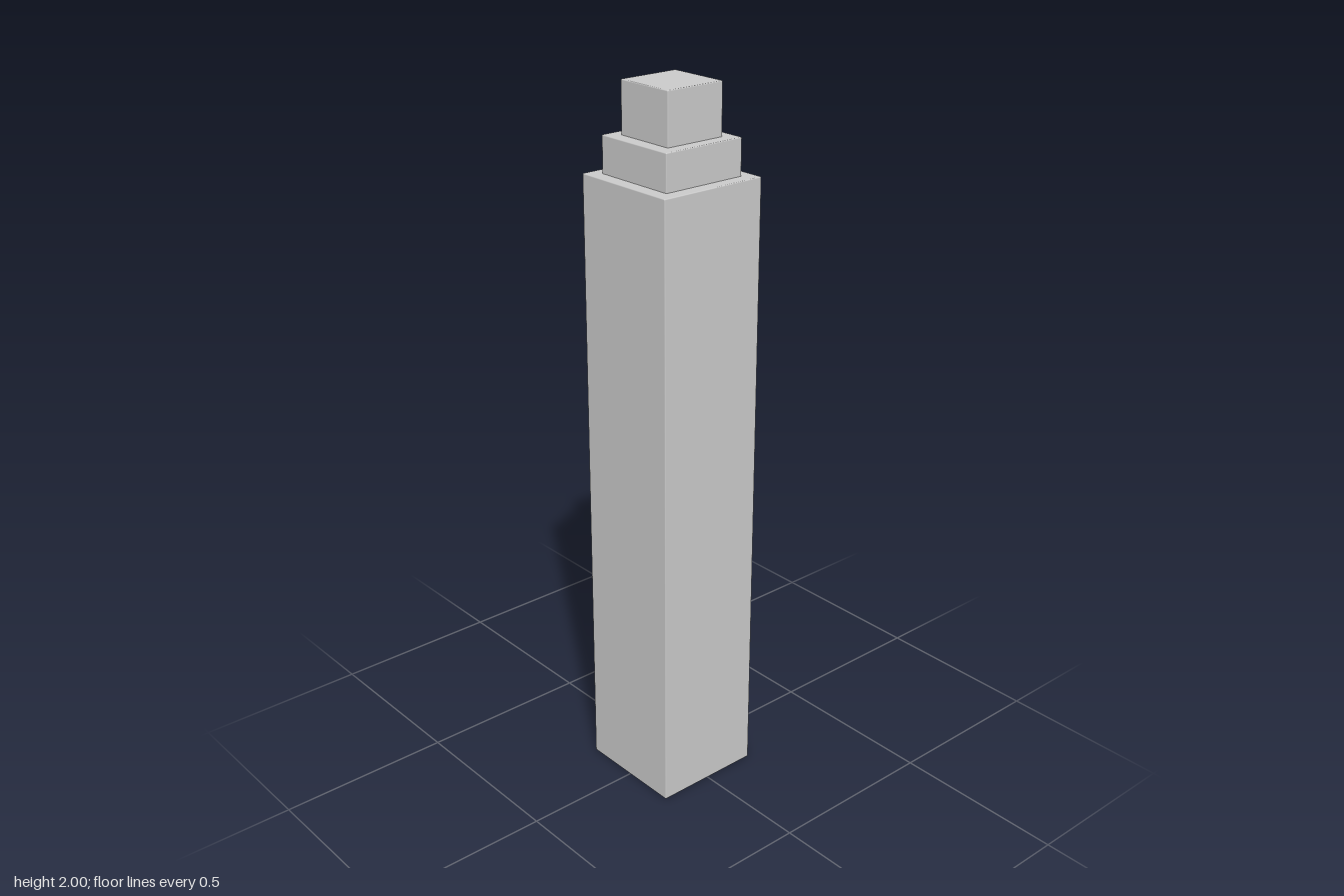
import * as THREE from 'three';
import { RoundedBoxGeometry } from 'three/addons/geometries/RoundedBoxGeometry.js';

export function createModel() {
  const group = new THREE.Group();
  const material = new THREE.MeshStandardMaterial({ color: 0xcccccc });

  // Square block with finely eased edges, spanning bottom to top
  const addBlock = (name, width, bottom, top) => {
    const height = top - bottom;
    const mesh = new THREE.Mesh(new RoundedBoxGeometry(width, height, width, 1, 0.003), material);
    mesh.name = name;
    mesh.position.y = bottom + height / 2;
    group.add(mesh);
  };

  // Tall shaft with two stepped blocks, each seated slightly into the one below
  addBlock('shaft', 0.322, 0, 1.76);
  addBlock('lowerStep', 0.25, 1.755, 1.86);
  addBlock('topBlock', 0.18, 1.855, 2);

  return group;
}
